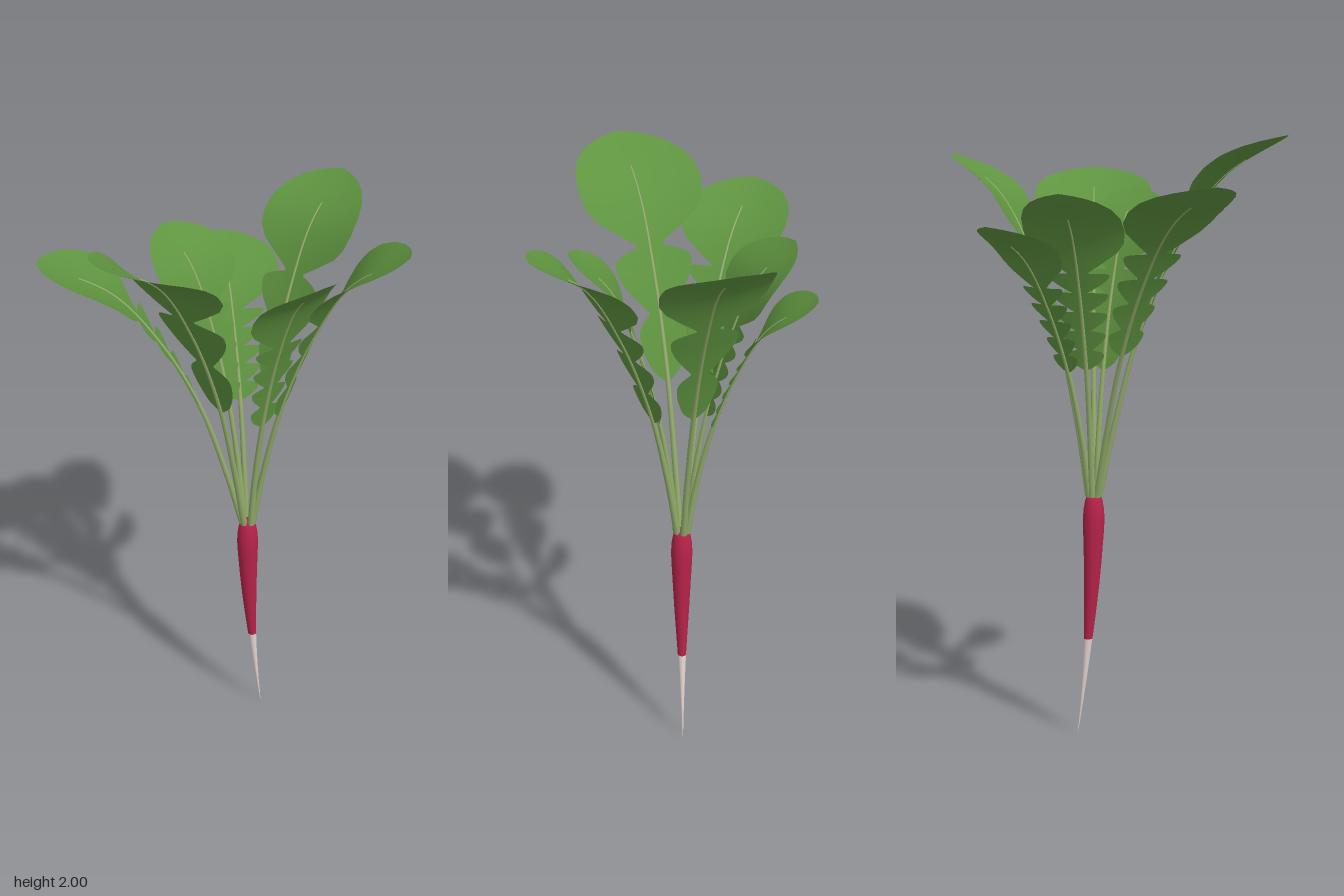
import * as THREE from 'three';

const mat = (name, color, side = THREE.FrontSide) => {
  const m = new THREE.MeshStandardMaterial({ color, side });
  m.name = name;
  return m;
};
const V = (x, y, z) => new THREE.Vector3(x, y, z);
const CROWN = V(0.07, 0.83, -0.037);

// Root section: a lathe whose axis bends sideways toward the tip
function rootPart(name, profile, material) {
  const geo = new THREE.LatheGeometry(profile.map(p => new THREE.Vector2(...p)), 24);
  const pos = geo.attributes.position;
  for (let i = 0; i < pos.count; i++) {
    const drop = (0.84 - pos.getY(i)) / 0.84;
    pos.setX(i, pos.getX(i) + CROWN.x + 0.065 * drop * drop);
    pos.setZ(i, pos.getZ(i) + CROWN.z);
  }
  geo.computeVertexNormals();
  const mesh = new THREE.Mesh(geo, material);
  mesh.name = name;
  return mesh;
}

// Outline of the large end lobe: [position along blade, half width]
const END_LOBE = [[0.5, 0.2], [0.54, 0.5], [0.59, 0.8], [0.65, 0.95], [0.72, 1], [0.79, 0.97],
  [0.86, 0.85], [0.92, 0.66], [0.96, 0.45], [0.985, 0.24], [1, 0]];

// Half width of the blade: swept side lobes below, one broad lobe above
function bladeWidth(u, lobes) {
  if (u < 0.5) {
    const k = u / 0.5 * lobes, i = Math.floor(k), f = k - i;
    const size = 0.38 + 0.24 * (lobes > 1 ? i / (lobes - 1) : 1);
    const neck = u < 0.03 ? 0.03 + u * 4 : 0.15;
    const swell = f < 0.65 ? Math.sin(f / 0.65 * Math.PI / 2) : Math.cos((f - 0.65) / 0.35 * Math.PI / 2);
    return neck + (size - neck) * swell;
  }
  let j = 1;
  while (j < END_LOBE.length - 1 && u > END_LOBE[j][0]) j++;
  const [a, wa] = END_LOBE[j - 1], [b, wb] = END_LOBE[j];
  return wa + (wb - wa) * (u - a) / (b - a);
}

// Leaf spine: rises steeply from the crown, then arches outward to the tip
function spine(tip) {
  const dx = tip[0] - CROWN.x, dz = tip[2] - CROWN.z, R = Math.hypot(dx, dz);
  const pts = [[0.018 / R, 0], [0.11, 0.2], [0.24, 0.46], [0.43, 0.7], [0.66, 0.885], [1, 1]]
    .map(([r, h]) => V(CROWN.x + dx * r, CROWN.y + (tip[1] - CROWN.y) * h, CROWN.z + dz * r));
  return { curve: new THREE.CatmullRomCurve3(pts), side: V(-dz / R, 0, dx / R) };
}

function bladeGeometry({ curve, side }, start, half, lobes) {
  const rows = 110, cols = 10, pos = [], index = [];
  for (let i = 0; i <= rows; i++) {
    const u = i / rows, t = start + (1 - start) * u;
    const p = curve.getPointAt(t), tan = curve.getTangentAt(t);
    const up = side.clone().cross(tan);
    if (up.y < 0) up.negate();
    const w = bladeWidth(u, lobes) * half;
    for (let j = 0; j <= cols; j++) {
      const v = j / cols * 2 - 1;
      // gentle cupping, with side lobes swept toward the tip
      const lift = 0.8 * (v * w) ** 2;
      const sweep = u < 0.5 ? 0.2 * Math.abs(v) * w : 0.2 * Math.abs(v) * w * Math.max(0, 1 - (u - 0.5) * 6);
      const q = p.clone().addScaledVector(side, v * w).addScaledVector(up, lift).addScaledVector(tan, sweep);
      pos.push(q.x, q.y, q.z);
      if (i < rows && j < cols) {
        const a = i * (cols + 1) + j, b = a + cols + 1;
        index.push(a, a + 1, b, b, a + 1, b + 1);
      }
    }
  }
  const geo = new THREE.BufferGeometry();
  geo.setAttribute('position', new THREE.Float32BufferAttribute(pos, 3));
  geo.setIndex(index);
  geo.computeVertexNormals();
  return geo;
}

// Stalk and midrib: a tube that tapers along the spine
function stalkGeometry({ curve }) {
  const N = 40, sides = 8, end = 0.89;
  const pts = Array.from({ length: 30 }, (_, i) => curve.getPointAt(end * i / 29));
  const path = new THREE.CatmullRomCurve3(pts);
  const geo = new THREE.TubeGeometry(path, N, 1, sides);
  const pos = geo.attributes.position, q = V(0, 0, 0);
  for (let i = 0; i <= N; i++) {
    const c = path.getPointAt(i / N), r = 0.0115 - 0.009 * i / N;
    for (let j = 0; j <= sides; j++) {
      const k = i * (sides + 1) + j;
      q.fromBufferAttribute(pos, k).sub(c).multiplyScalar(r).add(c);
      pos.setXYZ(k, q.x, q.y, q.z);
    }
  }
  return geo;
}

export function createModel() {
  const model = new THREE.Group();
  model.name = 'rootVegetable';
  const red = mat('root red', 0xb8234a);
  const pale = mat('root tip white', 0xe6d8d4);
  const green = mat('leaf green', 0x5f9440, THREE.DoubleSide);
  const stalkGreen = mat('stalk green', 0x93ac6c);

  model.add(rootPart('root', [[0.0145, 0.34], [0.019, 0.42], [0.025, 0.52], [0.03, 0.62], [0.034, 0.7],
    [0.036, 0.75], [0.034, 0.785], [0.029, 0.815], [0.022, 0.835], [0.012, 0.842], [0, 0.843]], red));
  model.add(rootPart('rootTip', [[0, 0], [0.0015, 0.02], [0.005, 0.12], [0.01, 0.24], [0.0145, 0.34]], pale));

  // Leaves: tip position, half width, side lobe count, where the blade starts
  const leaves = [
    [[-0.54, 2.0, 0.11], 0.205, 2, 0.37],
    [[-0.5, 1.84, -0.34], 0.175, 4, 0.4],
    [[0.0, 1.82, -0.39], 0.165, 5, 0.4],
    [[0.24, 1.72, -0.42], 0.168, 5, 0.42],
    [[0.535, 1.95, -0.14], 0.172, 2, 0.39],
    [[0.31, 1.91, 0.42], 0.2, 3, 0.37],
    [[0.08, 1.84, 0.31], 0.148, 4, 0.38],
  ];
  for (const [tip, half, lobes, start] of leaves) {
    const leaf = new THREE.Group();
    leaf.name = 'leaf';
    const s = spine(tip);
    const blade = new THREE.Mesh(bladeGeometry(s, start, half, lobes), green);
    blade.name = 'leafBlade';
    const stalk = new THREE.Mesh(stalkGeometry(s), stalkGreen);
    stalk.name = 'leafStalk';
    leaf.add(blade, stalk);
    model.add(leaf);
  }
  return model;
}
